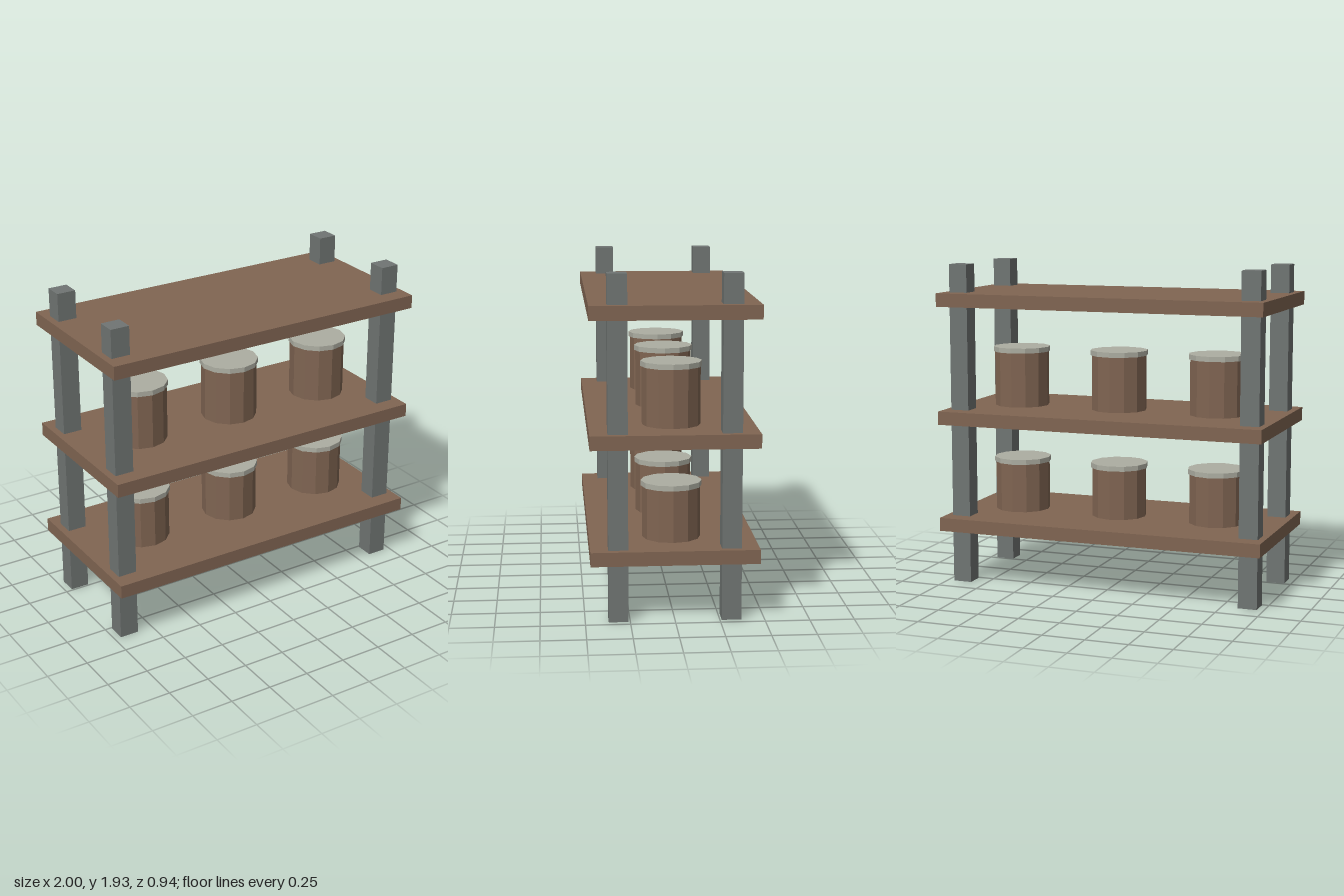
import * as THREE from 'three';

const material = (name, color) => {
  const m = new THREE.MeshStandardMaterial({ color });
  m.name = name;
  return m;
};

export function createModel() {
  const wood = material('brown wood', 0x806552);
  const metal = material('grey metal', 0x707573);
  const lidMetal = material('pale lid', 0xadaea2);

  const model = new THREE.Group();
  model.name = 'storageRack';

  const add = (parent, name, geometry, mat, x, y, z) => {
    const mesh = new THREE.Mesh(geometry, mat);
    mesh.name = name;
    mesh.position.set(x, y, z);
    parent.add(mesh);
    return mesh;
  };

  // Four square corner posts
  const postHeight = 1.935;
  const postGeometry = new THREE.BoxGeometry(0.113, postHeight, 0.11);
  for (const x of [-0.903, 0.903]) {
    for (const z of [-0.315, 0.315]) {
      const name = (z > 0 ? 'front' : 'back') + (x > 0 ? 'Left' : 'Right') + 'Post';
      add(model, name, postGeometry, metal, x, postHeight / 2, z);
    }
  }

  // Three plank shelves
  const shelfGeometry = new THREE.BoxGeometry(2, 0.08, 0.94);
  const shelves = [['lowerShelf', 0.37], ['middleShelf', 1.02], ['topShelf', 1.727]];
  for (const [name, y] of shelves) add(model, name, shelfGeometry, wood, 0, y, 0);

  // Twelve-sided faceted cylinder, resting on y = 0
  const faceted = (radius, height) =>
    new THREE.CylinderGeometry(radius, radius, height, 12)
      .toNonIndexed().translate(0, height / 2, 0);
  const flat = (geometry) => {
    geometry.computeVertexNormals();
    return geometry;
  };

  // Rows of lidded canisters on the lower two shelves
  const lidGeometry = flat(faceted(0.174, 0.03));
  const rows = [['lower', 0.41, 0.297], ['upper', 1.06, 0.331]];
  for (const [row, base, height] of rows) {
    const bodyGeometry = flat(faceted(0.166, height));
    for (const x of [-0.602, 0.016, 0.654]) {
      const canister = new THREE.Group();
      canister.name = row + 'Canister';
      canister.position.set(x, base, 0);
      add(canister, 'canisterBody', bodyGeometry, wood, 0, 0, 0);
      add(canister, 'canisterLid', lidGeometry, lidMetal, 0, height, 0);
      model.add(canister);
    }
  }

  return model;
}
